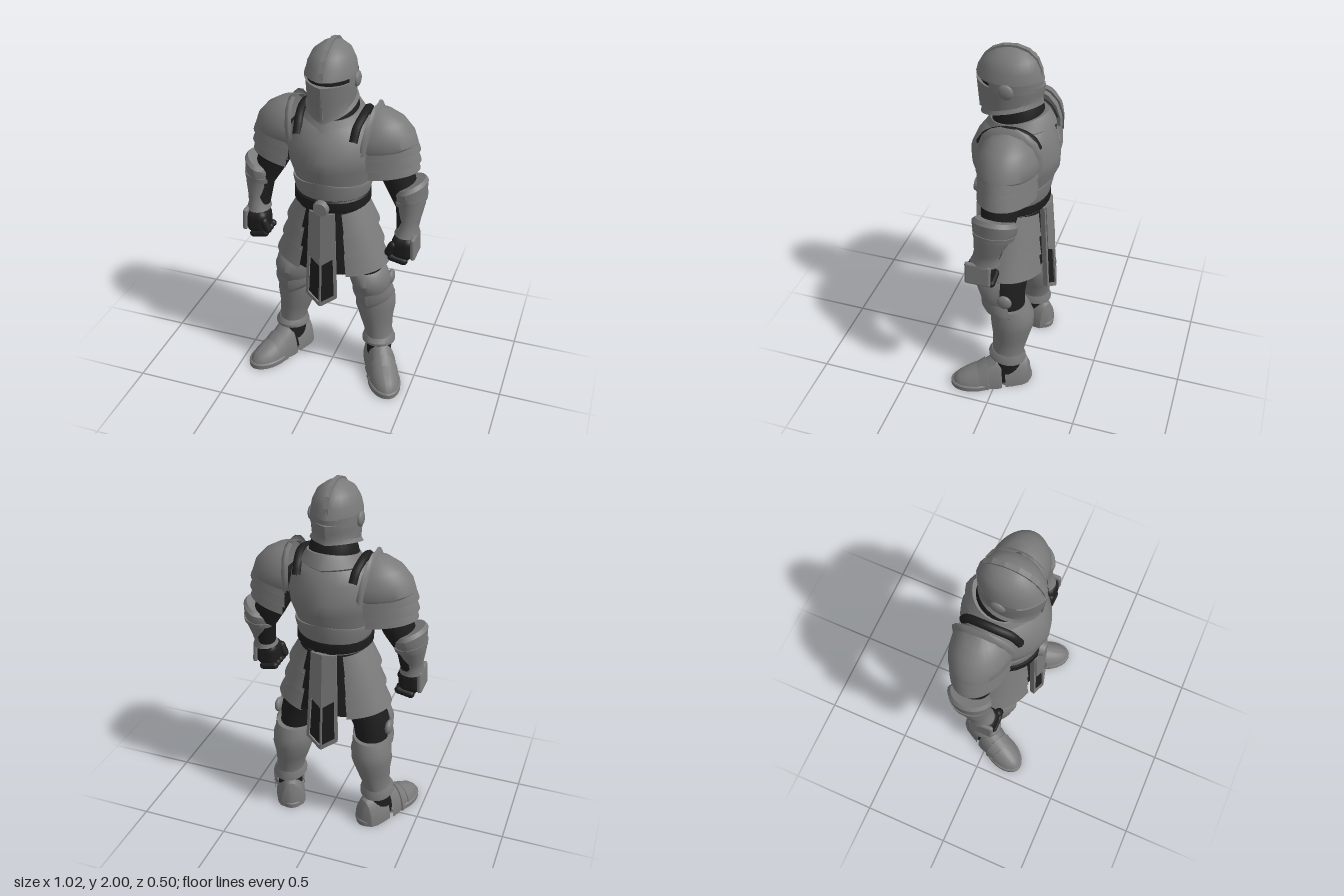
import * as THREE from 'three';
import { toCreasedNormals } from 'three/addons/utils/BufferGeometryUtils.js';
import { RoundedBoxGeometry } from 'three/addons/geometries/RoundedBoxGeometry.js';

const material = (name, color) => {
  const m = new THREE.MeshStandardMaterial({ color, side: THREE.DoubleSide });
  m.name = name;
  return m;
};

// Skin over elliptical rings listed from top to bottom.
// ring: [y, rx, rz, x, z, tiltX, tiltZ, keel, point]; the arc in degrees runs from +z towards +x.
function loft(rings, from = 0, to = 360, n = 28) {
  const pos = [], idx = [], closed = to - from === 360;
  for (const [y, rx, rz, x = 0, z = 0, tx = 0, tz = 0, keel = 0, point = 0] of rings) {
    for (let j = 0; j <= n; j++) {
      const a = THREE.MathUtils.degToRad(from + (to - from) * j / n);
      const ridge = 1 - Math.abs(Math.sin(a));
      const dx = rx * Math.sin(a), dz = rz * Math.cos(a) * (1 + keel * ridge * ridge);
      pos.push(x + dx, y + tx * dx + tz * dz - point * ridge, z + dz);
    }
  }
  const w = n + 1, last = (rings.length - 1) * w;
  for (let i = 0; i < rings.length - 1; i++) for (let j = 0; j < n; j++) {
    const a = i * w + j, c = a + w;
    idx.push(a, c, a + 1, a + 1, c, c + 1);
  }
  if (closed) {
    const end = rings.length - 1, top = pos.length / 3;
    for (const r of [rings[0], rings[end]]) pos.push(r[3] || 0, r[0], r[4] || 0);
    for (let j = 0; j < n; j++) idx.push(top, j, j + 1, top + 1, last + j + 1, last + j);
  }
  const g = new THREE.BufferGeometry();
  g.setAttribute('position', new THREE.Float32BufferAttribute(pos, 3));
  g.setIndex(idx);
  return toCreasedNormals(g, 0.6);
}

// Flat plate from outline points, with an optional hole
function plate(points, depth, hole) {
  const v = list => list.map(p => new THREE.Vector2(...p));
  const s = new THREE.Shape(v(points));
  if (hole) s.holes.push(new THREE.Path(v(hole)));
  return new THREE.ExtrudeGeometry(s, { depth, bevelEnabled: false });
}

function part(parent, name, geometry, mat, x = 0, y = 0, z = 0) {
  const m = new THREE.Mesh(geometry, mat);
  m.name = name;
  m.position.set(x, y, z);
  parent.add(m);
  return m;
}

function group(parent, name) {
  const g = new THREE.Group();
  g.name = name;
  parent.add(g);
  return g;
}

export function createModel() {
  const steel = material('steel', 0x7a7a7a);
  const dark = material('dark cloth and leather', 0x1e1e1e);
  const model = new THREE.Group();
  model.name = 'armouredKnight';

  // Helmet
  const head = group(model, 'helmet');
  part(head, 'skullCap', loft([
    [1.988, 0.015, 0.03], [1.972, 0.055, 0.08], [1.94, 0.096, 0.125, 0, 0.005],
    [1.89, 0.12, 0.15, 0, 0.01, 0, 0, 0.03], [1.835, 0.13, 0.162, 0, 0.015, 0, 0, 0.08]]), steel);
  part(head, 'crest', plate([[0.188, 1.835], [0.176, 1.88], [0.148, 1.93], [0.105, 1.97], [0.05, 1.994], [-0.02, 2],
    [-0.08, 1.984], [-0.125, 1.945], [-0.147, 1.89], [-0.152, 1.835]], 0.026).rotateY(-Math.PI / 2), steel, 0.013);
  part(head, 'eyeSlit', loft([[1.85, 0.12, 0.15, 0, 0.01], [1.79, 0.12, 0.15, 0, 0.01]]), dark);
  part(head, 'cheekBand', loft([[1.84, 0.13, 0.162, 0, 0.012], [1.79, 0.13, 0.162, 0, 0.012]], 62, 298), steel);
  part(head, 'visor', loft([
    [1.808, 0.128, 0.16, 0, 0.013, 0, 0, 0.12], [1.74, 0.124, 0.156, 0, 0.01, 0, -0.17, 0.1, 0.005],
    [1.7, 0.121, 0.148, 0, 0.008, 0, -0.3, 0.08, 0.015], [1.682, 0.134, 0.152, 0, 0.006, 0, -0.28, 0.08, 0.025]]), steel);
  part(head, 'visorRidge', new THREE.BoxGeometry(0.012, 0.16, 0.012), steel, 0, 1.715, 0.176).rotation.x = 0.08;
  for (const s of [1, -1])
    part(head, 'earRoundel', new THREE.SphereGeometry(0.04, 20, 12), steel, s * 0.13, 1.805, 0).scale.x = 0.42;

  // Neck and collar
  part(model, 'neck', loft([[1.72, 0.1, 0.105], [1.665, 0.122, 0.125], [1.61, 0.134, 0.138], [1.56, 0.13, 0.13]]
    .map(r => [...r, 0, -0.028, 0, -0.2])), dark);
  part(model, 'gorget', loft([
    [1.633, 0.138, 0.142, 0, -0.033, 0, -0.22, 0.06], [1.612, 0.15, 0.155, 0, -0.033, 0, -0.22, 0.08],
    [1.58, 0.175, 0.178, 0, -0.03, 0, -0.2, 0.1, 0.02],
    [1.568, 0.165, 0.16, 0, -0.03, 0, -0.2, 0.08, 0.02]], 0, 360, 36), steel);

  // Torso
  part(model, 'breastplate', loft([
    [1.6, 0.13, 0.13, 0, -0.035], [1.565, 0.19, 0.165, 0, -0.03], [1.51, 0.225, 0.195, 0, -0.02, 0, 0, 0.03],
    [1.42, 0.245, 0.222, 0, -0.015, 0, 0, 0.06], [1.35, 0.235, 0.22, 0, -0.015, 0, 0, 0.06],
    [1.26, 0.205, 0.188, 0, -0.012, 0, 0, 0.05], [1.1, 0.185, 0.172, 0, -0.01]], 0, 360, 36), steel);
  part(model, 'waistPlate', loft([
    [1.25, 0.212, 0.2, 0, -0.012, 0, 0, 0.03, -0.035], [1.235, 0.214, 0.2, 0, -0.012, 0, 0, 0.03, -0.035],
    [1.17, 0.198, 0.186, 0, -0.01]], 0, 360, 36), steel);
  part(model, 'belt', loft([[1.18, 0.198, 0.188], [1.172, 0.206, 0.194], [1.122, 0.206, 0.194], [1.112, 0.198, 0.188]]
    .map(r => [...r, 0, -0.005])), dark);
  const buckle = part(model, 'buckle', new THREE.CylinderGeometry(0.036, 0.046, 0.03, 20), steel, 0, 1.14, 0.197);
  buckle.rotation.x = Math.PI / 2;
  part(model, 'underskirt', loft([
    [1.13, 0.18, 0.165], [0.95, 0.21, 0.17], [0.72, 0.25, 0.175], [0.71, 0.2, 0.14]].map(r => [...r, 0, -0.01])), dark);

  // Hanging panels at front and back, each folded along its centre
  for (const back of [false, true]) {
    const panel = group(model, back ? 'backTabard' : 'frontTabard');
    panel.position.set(0, 1.11, back ? -0.182 : 0.166);
    panel.rotation.set(back ? 0.075 : -0.045, back ? Math.PI : 0, 0);
    for (const s of [1, -1]) {
      const half = group(panel, 'tabardHalf');
      half.scale.x = s;
      const fold = group(half, 'foldedSide');
      fold.rotation.y = 0.24;
      part(fold, 'tabardFrame', plate([[-0.007, 0], [0.066, 0], [0.086, -0.52], [0, -0.578], [-0.007, -0.578]], 0.028,
        [[0, -0.02], [0.05, -0.02], [0.069, -0.508], [0, -0.555]]), steel);
      part(fold, 'tabardCloth', plate([[-0.005, 0], [0.062, 0], [0.08, -0.515], [-0.005, -0.57]], 0.019), dark);
      part(fold, 'tabardPlate', plate([[-0.008, 0], [0.055, 0], [0.062, -0.27], [-0.008, -0.32]], 0.033), steel);
    }
  }

  for (const s of [1, -1]) {
    const side = group(model, s > 0 ? 'leftSide' : 'rightSide');
    side.scale.x = s;

    // Shoulder strap
    const strap = new THREE.CatmullRomCurve3([[0.15, 1.512, 0.126], [0.155, 1.575, 0.082], [0.165, 1.61, 0.01],
      [0.165, 1.615, -0.08], [0.155, 1.58, -0.145], [0.15, 1.53, -0.175]].map(p => new THREE.Vector3(...p)));
    part(side, 'shoulderStrap', new THREE.TubeGeometry(strap, 24, 0.023, 8), dark);

    // Pauldron: flared inner rim, dome and overlapping lames
    const pauldron = group(side, 'pauldron');
    part(pauldron, 'pauldronRim', loft([
      [1.668, 0.006, 0.04, 0.218], [1.645, 0.03, 0.095, 0.214], [1.6, 0.045, 0.14, 0.207],
      [1.53, 0.055, 0.168, 0.198], [1.44, 0.06, 0.172, 0.19]].map(r => [...r, -0.045]), 0, 180), steel);
    part(pauldron, 'pauldronDome', loft([
      [1.645, 0.02, 0.02, 0.215], [1.622, 0.09, 0.08, 0.215], [1.578, 0.16, 0.125, 0.21],
      [1.515, 0.215, 0.152, 0.205], [1.46, 0.238, 0.16, 0.2], [1.445, 0.23, 0.155, 0.2]]
      .map(r => [...r, -0.045, 0.09]), -5, 185), steel);
    [[1.47, 0.2, 0.252], [1.41, 0.202, 0.256], [1.365, 0.215, 0.24]].forEach(([y, x, rx]) =>
      part(pauldron, 'pauldronLame', loft([
        [y, rx - 0.022, 0.144], [y - 0.055, rx, 0.15], [y - 0.066, rx + 0.003, 0.152], [y - 0.07, rx - 0.012, 0.14]]
        .map(r => [...r, x, -0.045, 0.13]), 2, 178), steel));

    // Arm
    part(side, 'armSleeve', loft([
      [1.5, 0.09, 0.1, 0.28, -0.04], [1.4, 0.102, 0.105, 0.305, -0.04], [1.3, 0.094, 0.098, 0.335, -0.04],
      [1.23, 0.086, 0.09, 0.365, -0.04], [1.12, 0.062, 0.075, 0.41, -0.02], [0.96, 0.05, 0.06, 0.42, 0.02]]), dark);
    part(side, 'vambrace', loft([
      [1.255, 0.075, 0.095, 0.415, -0.035, 0.45, 0, 0.1], [1.235, 0.088, 0.11, 0.418, -0.035, 0.4, 0, 0.1],
      [1.19, 0.084, 0.108, 0.42, -0.033, 0.25, 0, 0.05], [1.13, 0.073, 0.09, 0.428, -0.02, 0.1],
      [1.06, 0.058, 0.072, 0.428, 0, 0], [1.015, 0.056, 0.07, 0.424, 0.012],
      [0.98, 0.066, 0.08, 0.422, 0.018], [0.972, 0.055, 0.065, 0.42, 0.02]]), steel);
    part(side, 'elbowBand', loft([
      [1.182, 0.088, 0.112, 0.421, -0.033, 0.2], [1.155, 0.084, 0.105, 0.424, -0.03, 0.2]]), steel);

    // Gauntlet
    const hand = group(side, 'gauntlet');
    part(hand, 'palm', new RoundedBoxGeometry(0.125, 0.14, 0.14, 3, 0.045), dark, 0.415, 0.915, 0.042);
    for (let i = 0; i < 4; i++) {
      const finger = part(hand, 'finger', new THREE.CapsuleGeometry(0.021, 0.07, 4, 10), dark, 0.395, 0.853, 0.096 - i * 0.037);
      finger.rotation.z = Math.PI / 2 - 0.2;
    }
    const thumb = part(hand, 'thumb', new THREE.CapsuleGeometry(0.023, 0.05, 4, 10), dark, 0.355, 0.91, 0.094);
    thumb.rotation.z = -0.4;
    part(hand, 'handPlate', new RoundedBoxGeometry(0.026, 0.13, 0.14, 3, 0.0125), steel, 0.474, 0.93, 0.042).rotation.z = 0.06;

    // Hip plates in three tiers
    [[1.09, 0.14, 0.205, 20], [0.97, 0.178, 0.236, 19], [0.85, 0.212, 0.27, 18]].forEach(([y, r0, r1, a], i) =>
      part(side, 'tasset', loft([
        [y, r0, 0.168 + i * 0.004], [y - 0.115, r1 - 0.006, 0.188 + i * 0.004],
        [y - 0.13, r1, 0.192 + i * 0.004], [y - 0.134, r1 - 0.015, 0.18 + i * 0.004]]
        .map(r => [...r, 0.05, -0.012, 0.13]), a, 180 - a), steel));

    // Leg
    part(side, 'trouserLeg', loft([
      [0.86, 0.11, 0.13, 0.13, -0.015], [0.74, 0.115, 0.125, 0.175, -0.015],
      [0.62, 0.1, 0.11, 0.215, -0.02], [0.5, 0.085, 0.095, 0.23, -0.04]]), dark);
    part(side, 'kneeGuard', loft([
      [0.73, 0.09, 0.11, 0.205, 0, 0, -0.1], [0.715, 0.102, 0.125, 0.208, 0, 0, -0.1],
      [0.65, 0.112, 0.132, 0.22, 0, 0, 0, 0.06], [0.6, 0.108, 0.122, 0.225, -0.01, 0, 0, 0.08],
      [0.55, 0.095, 0.108, 0.23, -0.015, 0, 0, 0.05]], -100, 100), steel);
    part(side, 'kneeBand', loft([
      [0.6, 0.105, 0.12, 0.226, -0.015, 0, 0, 0.1, 0.02], [0.555, 0.114, 0.124, 0.23, -0.025, 0, 0, 0.1, 0.04],
      [0.525, 0.113, 0.116, 0.232, -0.037, 0, 0, 0.08, 0.045],
      [0.515, 0.104, 0.104, 0.232, -0.042, 0, 0, 0.05, 0.04]], -115, 115), steel);
    part(side, 'kneeRoundel', new THREE.SphereGeometry(0.042, 18, 12), steel, 0.326, 0.63, -0.05).scale.x = 0.5;
    part(side, 'greave', loft([
      [0.55, 0.098, 0.105, 0.23, -0.055, 0, 0], [0.49, 0.112, 0.12, 0.233, -0.068],
      [0.42, 0.113, 0.117, 0.237, -0.068, 0, 0, 0.03], [0.34, 0.094, 0.1, 0.245, -0.062, 0, 0, 0.04],
      [0.26, 0.079, 0.088, 0.26, -0.055, 0, 0, 0.04], [0.225, 0.08, 0.09, 0.265, -0.052]]), steel);
    part(side, 'ankleRim', loft([
      [0.235, 0.08, 0.09, 0.265, -0.05], [0.2, 0.095, 0.105, 0.267, -0.048, 0, 0.12],
      [0.185, 0.095, 0.105, 0.267, -0.048, 0, 0.12], [0.18, 0.075, 0.085, 0.267, -0.048]]), steel);

    // Foot, turned outwards: sole, ankle and overlapping arched lames
    const foot = group(side, 'foot');
    foot.position.set(0.295, 0, 0);
    foot.rotation.y = 0.46;
    part(foot, 'ankle', loft([[0.21, 0.07, 0.08, 0, -0.06], [0.02, 0.07, 0.1, 0, -0.05]]), dark);
    part(foot, 'toeSole', loft([[0.032, 0.086, 0.142], [0.026, 0.092, 0.148], [0, 0.092, 0.148]].map(r => [...r, 0, 0.125])), steel);
    part(foot, 'heelSole', loft([[0.032, 0.076, 0.105], [0.026, 0.08, 0.11], [0, 0.08, 0.11]].map(r => [...r, 0, -0.088])), steel);
    const lames = {
      toeCap: [[0.264, 0.01, 0.025], [0.254, 0.038, 0.05], [0.225, 0.064, 0.075], [0.175, 0.082, 0.098], [0.125, 0.09, 0.12], [0.12, 0.08, 0.108]],
      middleLame: [[0.15, 0.08, 0.1], [0.07, 0.092, 0.156], [0.065, 0.082, 0.143]],
      instepLame: [[0.09, 0.08, 0.13], [0.015, 0.09, 0.19], [-0.01, 0.088, 0.185]],
      heelCup: [[-0.03, 0.084, 0.15], [-0.07, 0.084, 0.17], [-0.13, 0.08, 0.175], [-0.165, 0.066, 0.155], [-0.185, 0.035, 0.1], [-0.192, 0.005, 0.02]]
    };
    for (const [name, rings] of Object.entries(lames))
      part(foot, name, loft(rings, 90, 270).rotateX(Math.PI / 2), steel);
  }
  return model;
}
